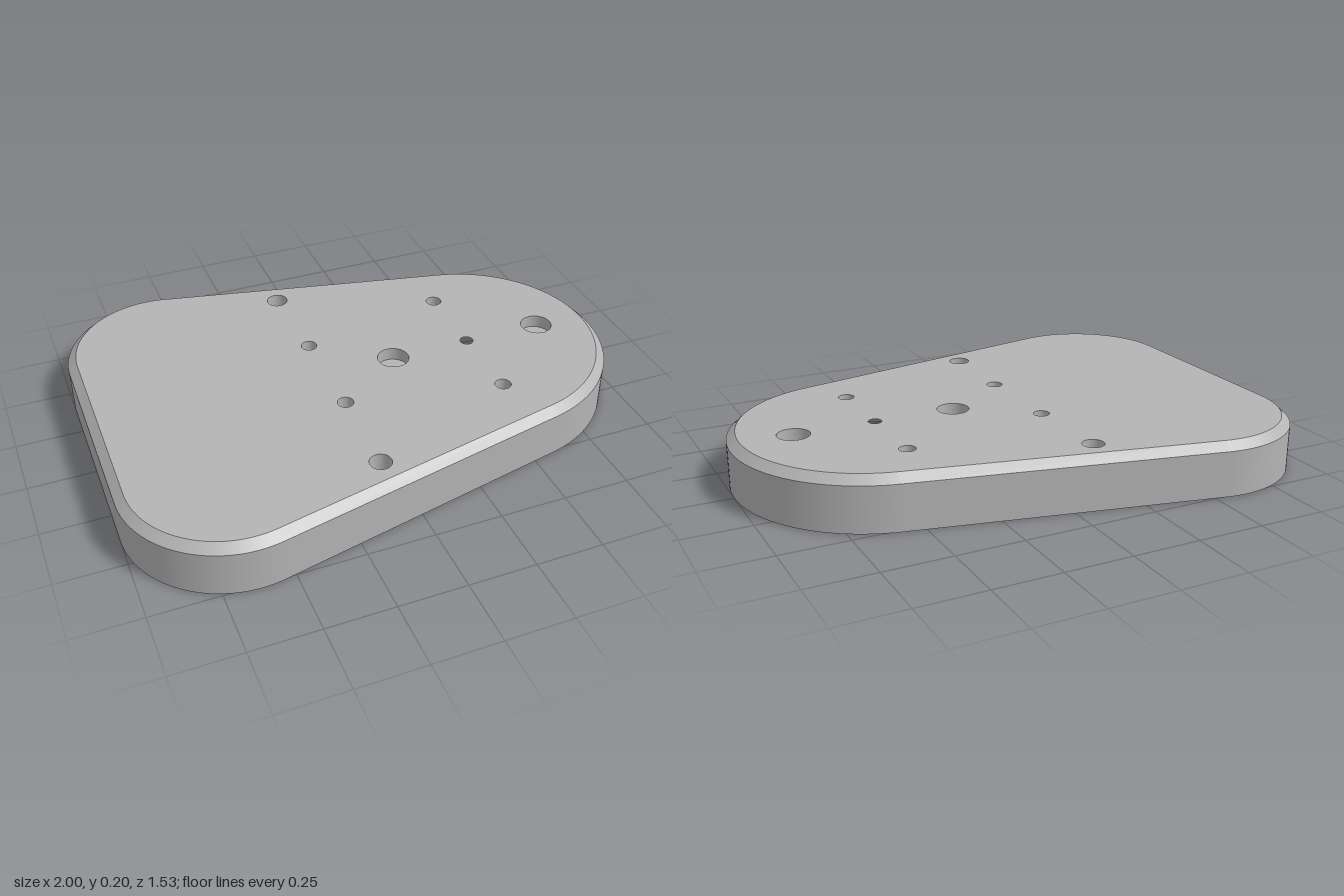
import * as THREE from 'three';
import { mergeGeometries } from 'three/addons/utils/BufferGeometryUtils.js';

const TOP = 0.2, SHOULDER = 0.17, CEILING = 0.13;
const WALL = 0.025, CHAMFER = 0.033;

// Rounded wedge outline, moved inwards by inset
function outline(inset) {
  const pts = [];
  const lean = THREE.MathUtils.degToRad(78);
  const arc = (cx, cy, r, from, to, n) => {
    for (let i = 0; i <= n; i++) {
      const a = from + (to - from) * i / n;
      pts.push(new THREE.Vector2(cx + (r - inset) * Math.cos(a), cy + (r - inset) * Math.sin(a)));
    }
  };
  arc(0.473, 0, 0.527, -lean, lean, 48);
  arc(-0.62, 0.385, 0.38, lean, Math.PI, 32);
  arc(-0.62, -0.385, 0.38, Math.PI, 2 * Math.PI - lean, 32);
  return pts;
}

// Closed band between two outlines at two heights
function band([insetA, yA], [insetB, yB]) {
  const a = outline(insetA), b = outline(insetB), n = a.length;
  const pos = [], index = [];
  a.forEach(p => pos.push(p.x, yA, -p.y));
  b.forEach(p => pos.push(p.x, yB, -p.y));
  for (let i = 0; i < n; i++) {
    const j = (i + 1) % n;
    index.push(i, j, n + j, i, n + j, n + i);
  }
  const g = new THREE.BufferGeometry();
  g.setAttribute('position', new THREE.Float32BufferAttribute(pos, 3));
  g.setIndex(index);
  g.computeVertexNormals();
  return g;
}

// Flat face with round holes [x, z, radius], facing up or down
function face(inset, y, holes, up) {
  const shape = new THREE.Shape(outline(inset));
  for (const [x, z, r] of holes) {
    const hole = new THREE.Path();
    hole.absarc(x, up ? -z : z, r, 0, Math.PI * 2, true);
    shape.holes.push(hole);
  }
  const g = new THREE.ShapeGeometry(shape, 24);
  g.rotateX(up ? -Math.PI / 2 : Math.PI / 2);
  return g.translate(0, y, 0);
}

// Turned part with sharp edges between profile segments
function turned(profile) {
  const parts = [];
  for (let i = 0; i + 1 < profile.length; i++) {
    parts.push(new THREE.LatheGeometry(
      [profile[i], profile[i + 1]].map(([r, y]) => new THREE.Vector2(r, y)), 48));
  }
  return mergeGeometries(parts);
}

export function createModel() {
  const model = new THREE.Group();
  const grey = new THREE.MeshStandardMaterial({ color: 0xb4b4b4 });
  grey.name = 'grey';
  const add = (name, geometry, x = 0, z = 0) => {
    const mesh = new THREE.Mesh(geometry, grey);
    mesh.name = name;
    mesh.position.set(x, 0, z);
    model.add(mesh);
  };

  const mirrored = (x, z, r) => [[x, z, r], [x, -z, r]];
  const plain = mirrored(-0.12, 0.545, 0.04);
  const tall = mirrored(-0.11, 0.193, 0.03);
  const short = mirrored(0.47, 0.305, 0.03);
  const wells = [[0.16, 0, 0.06], [0.775, 0, 0.06]];
  const through = [...plain, ...tall, ...short];

  // Shell: inner wall, rim, outer wall and chamfer
  const section = [[WALL, CEILING], [WALL, 0], [0, 0], [0, SHOULDER], [CHAMFER, TOP]];
  ['innerWall', 'rim', 'outerWall', 'chamfer'].forEach((name, i) =>
    add(name, band(section[i], section[i + 1])));

  // Top face and the ceiling beneath it
  add('topFace', face(CHAMFER, TOP, [...through, ...wells, [0.47, 0, 0.025]], true));
  add('ceiling', face(WALL, CEILING, [...through, [0.47, 0, 0.19]], false));

  // Plain through holes
  for (const [x, z, r] of plain) add('throughHole', turned([[r, TOP], [r, CEILING]]), x, z);

  // Tall stepped bosses with a bore
  for (const [x, z, r] of tall) {
    add('steppedBoss', turned([[r, TOP], [r, 0.05], [0.055, 0.05], [0.055, 0.075],
      [0.092, 0.075], [0.092, CEILING]]), x, z);
  }

  // Short bosses with a bore
  for (const [x, z, r] of short) {
    add('shortBoss', turned([[r, TOP], [r, 0.105], [0.07, 0.105], [0.07, CEILING]]), x, z);
  }

  // Blind wells in the top
  for (const [x, z, r] of wells) add('well', turned([[r, TOP], [r, 0.15], [0, 0.15]]), x, z);

  // Conical recess below the small centre hole
  add('conicalRecess', turned([[0.025, TOP], [0.19, CEILING]]), 0.47, 0);

  // Corner boss with a pin
  add('pinBoss', turned([[0, 0.005], [0.022, 0.005], [0.022, 0.075],
    [0.09, 0.075], [0.09, CEILING]]), -0.62, -0.385);

  return model;
}
